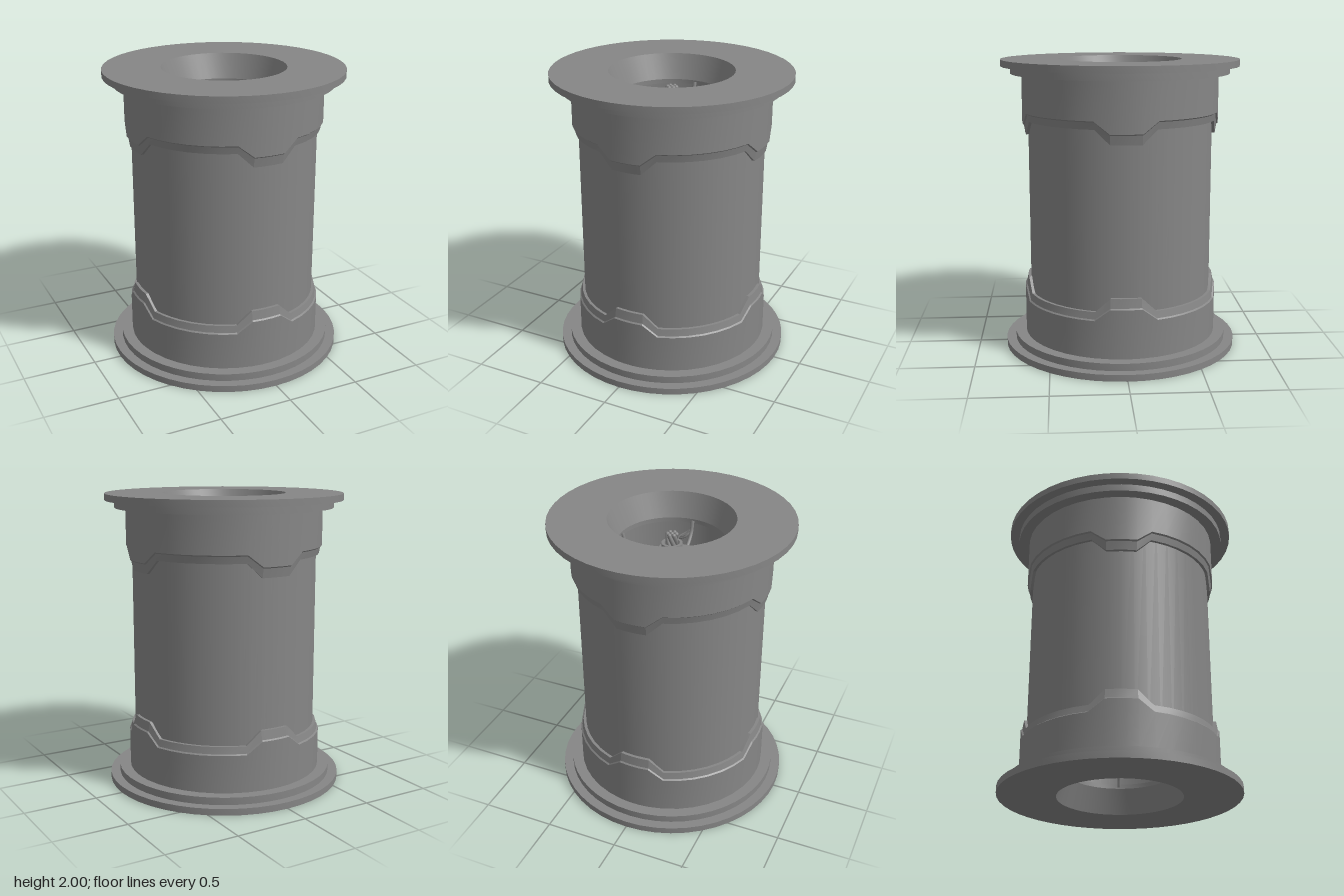
import * as THREE from 'three';
import { toCreasedNormals } from 'three/addons/utils/BufferGeometryUtils.js';

const color = 0x868686;
const grey = new THREE.MeshStandardMaterial({ color });
const greyOpen = new THREE.MeshStandardMaterial({ color, side: THREE.DoubleSide });
const greyFlat = new THREE.MeshStandardMaterial({ color, flatShading: true });
const V = (x, y, z) => new THREE.Vector3(x, y, z);

function add(parent, name, geometry, material = grey) {
  const mesh = new THREE.Mesh(geometry, material);
  mesh.name = name;
  parent.add(mesh);
  return mesh;
}

// Revolved profile with crisp edges
function turned(points) {
  const profile = points.map(([r, y]) => new THREE.Vector2(r, y));
  return toCreasedNormals(new THREE.LatheGeometry(profile, 48), 0.3);
}

function tube(points, radius, segments = 16) {
  return new THREE.TubeGeometry(new THREE.CatmullRomCurve3(points), segments, radius, 8);
}

// Collar whose stepped, bevelled rim rises into a tab on each of the four sides
function collarGeometry() {
  const quarter = [-18, -9, -3, 3, 9, 18, 27, 36, 45, 54, 63];
  const angles = [0, 90, 180, 270].flatMap((q) => quarter.map((a) => [a + q, Math.abs(a) <= 9 ? 1 : 0]));
  const positions = [], index = [], rows = 5;
  for (const [deg, tab] of angles) {
    const a = THREE.MathUtils.degToRad(deg);
    const outer = 0.35 + 0.08 * tab, inner = 0.405 + 0.095 * tab;
    const section = [[0.67, 0.09], [0.67, outer], [0.66, outer + 0.008], [0.65, inner], [0.615, inner]];
    for (const [r, y] of section) positions.push(r * Math.sin(a), y, r * Math.cos(a));
  }
  for (let i = 0; i < angles.length; i++) {
    const n = (i + 1) % angles.length;
    for (let j = 0; j < rows - 1; j++) {
      const a = i * rows + j, b = n * rows + j;
      index.push(a, b, b + 1, a, b + 1, a + 1);
    }
  }
  const geometry = new THREE.BufferGeometry();
  geometry.setAttribute('position', new THREE.Float32BufferAttribute(positions, 3));
  geometry.setIndex(index);
  return toCreasedNormals(geometry, 0.2);
}

// One end of the drum, standing on y = 0; side says where the cables hang
function createEnd(name, side) {
  const end = new THREE.Group();
  end.name = name;
  add(end, 'flange', turned([
    [0.36, 0.2], [0.36, 0.17], [0.42, 0], [0.81, 0], [0.81, 0.045],
    [0.745, 0.045], [0.745, 0.095], [0.66, 0.095],
  ]));
  add(end, 'collar', collarGeometry());
  add(end, 'innerWall', turned([[0.5, 1], [0.5, 0.2], [0.36, 0.2]]), greyOpen);

  // Bent struts reaching in from the neck, each with a slack cable beside it
  for (let i = 0; i < 4; i++) {
    const arm = new THREE.Group();
    arm.name = 'strutAssembly';
    arm.rotation.y = i * Math.PI / 2;
    end.add(arm);
    add(arm, 'strut', tube([V(0.36, 0.18, 0), V(0.33, 0.27, 0), V(0.22, 0.36, 0), V(0.11, 0.4, 0)], 0.013));
    add(arm, 'strutTip', new THREE.SphereGeometry(0.013, 8, 6)).position.set(0.11, 0.4, 0);
    for (let k = 0; k < 3; k++) {
      const s = 0.012 * k;
      add(arm, 'cable', tube([
        V(0.35, 0.24, 0), V(0.345 - s, 0.27 + s, side * 0.04), V(0.315 + s, 0.31 + s, side * (0.09 + s)),
        V(0.3 + s, 0.36, side * 0.06), V(0.34, 0.38 + s, side * 0.02),
      ], 0.007), greyOpen);
    }
  }
  return end;
}

// Twisted strand rope standing on the core
function createRope() {
  const rope = new THREE.Group();
  rope.name = 'rope';
  for (let s = 0; s < 7; s++) {
    const radius = s === 6 ? 0 : 0.029, points = [];
    for (let i = 0; i <= 6; i++) {
      const a = s * Math.PI / 3 + i * 0.3;
      points.push(V(radius * Math.cos(a), 1.76 + i * 0.02, radius * Math.sin(a)));
    }
    add(rope, 'strand', tube(points, 0.015), greyOpen);
    add(rope, 'strandTip', new THREE.SphereGeometry(0.015, 8, 6)).position.copy(points[6]);
  }
  return rope;
}

// Faceted core: a subdivided box pushed out to an ellipsoid
function coreGeometry() {
  const geometry = new THREE.BoxGeometry(2, 2, 2, 3, 3, 3);
  const p = geometry.attributes.position;
  for (let i = 0; i < p.count; i++) {
    const v = new THREE.Vector3().fromBufferAttribute(p, i).normalize();
    p.setXYZ(i, v.x * 0.325, v.y * 0.85, v.z * 0.325);
  }
  return geometry;
}

export function createModel() {
  const model = new THREE.Group();
  model.name = 'drum';

  add(model, 'body', new THREE.CylinderGeometry(0.63, 0.63, 1.82, 48, 1, true)).position.y = 1;

  model.add(createEnd('bottomEnd', -1));
  const top = createEnd('topEnd', 1);
  top.rotation.x = Math.PI;
  top.position.y = 2;
  model.add(top);

  add(model, 'core', coreGeometry(), greyFlat).position.y = 1;
  add(model, 'ropeSocket', turned([[0.07, 1.74], [0.07, 1.82], [0.05, 1.82], [0.05, 1.76]]));
  model.add(createRope());
  return model;
}
